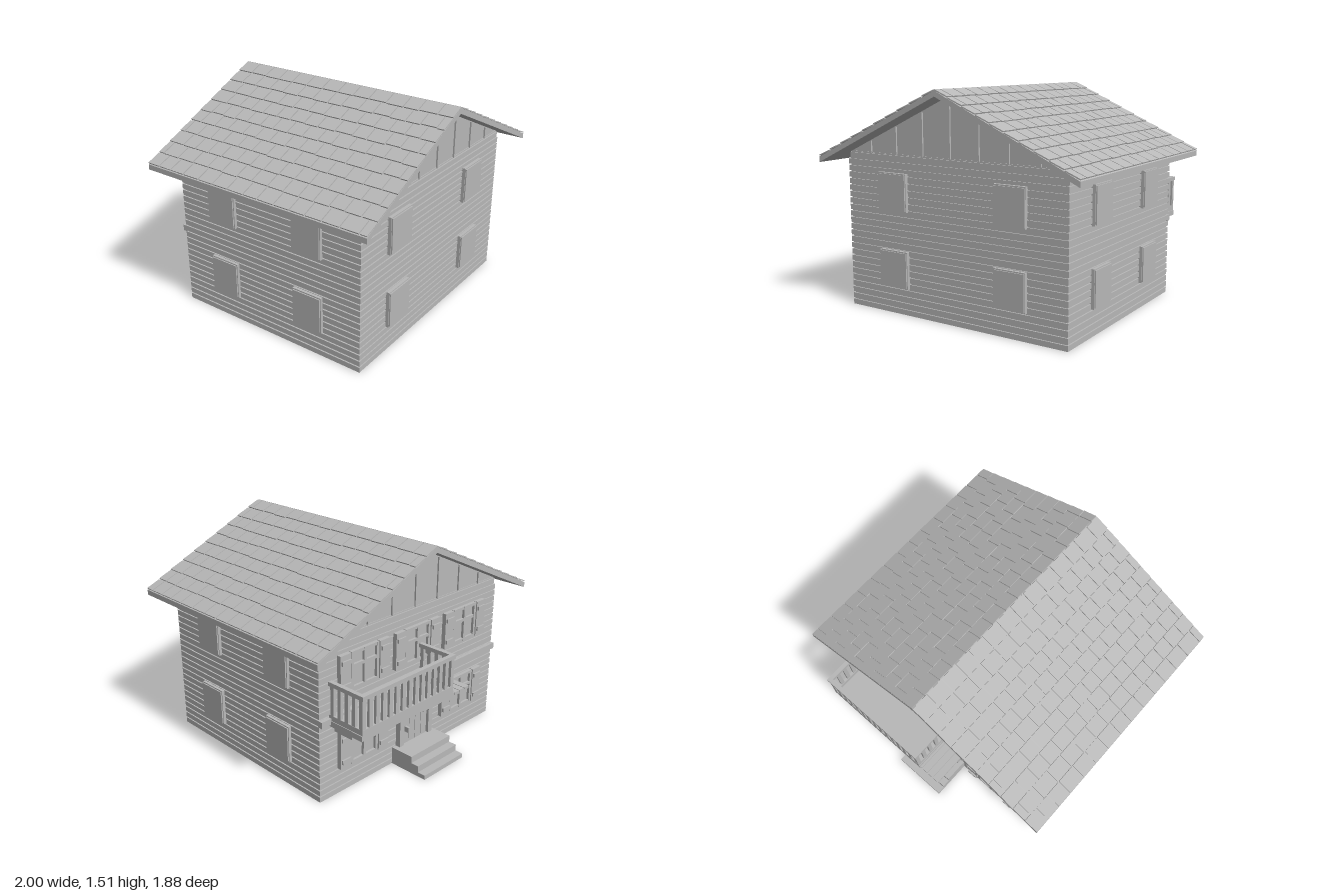
import * as THREE from 'three';
import { mergeGeometries } from 'three/addons/utils/BufferGeometryUtils.js';

const grey = new THREE.MeshStandardMaterial({ color: 0xb8b8b8 });
grey.name = 'plain grey';

// Box geometry from its limits on each axis
function span(x0, x1, y0, y1, z0, z1) {
  return new THREE.BoxGeometry(Math.abs(x1 - x0), Math.abs(y1 - y0), Math.abs(z1 - z0))
    .translate((x0 + x1) / 2, (y0 + y1) / 2, (z0 + z1) / 2);
}

export function createModel() {
  const house = new THREE.Group();
  house.name = 'chalet';
  const add = (name, geos) => {
    const mesh = new THREE.Mesh(mergeGeometries([].concat(geos)), grey);
    mesh.name = name;
    house.add(mesh);
  };
  const W = 0.858, F = 0.802, B = -0.65; // wall half width, front and back

  // Walls: a core with raised horizontal planks
  const top = 1.075, planks = 24, pitch = top / planks;
  add('wallCore', span(-W + 0.01, W - 0.01, 0, top, B + 0.01, F - 0.01));
  const boards = [];
  for (let i = 0; i < planks; i++) {
    const inset = i === planks - 1 ? 0.015 : 0;
    boards.push(span(-W + inset, W - inset, i * pitch, (i + 1) * pitch - 0.009, B, F));
  }
  add('wallPlanks', boards);

  // Gables with vertical battens
  const gable = new THREE.Shape([[-W, 1.07], [W, 1.07], [0, 1.47]].map(p => new THREE.Vector2(...p)));
  add('gable', new THREE.ExtrudeGeometry(gable, { depth: F - B - 0.03, bevelEnabled: false }).translate(0, 0, B + 0.015));
  const battens = [];
  for (let i = -3; i <= 3; i++) {
    const x = i * 0.22, h = 1.46 - Math.abs(x) * 0.465;
    battens.push(span(x - 0.005, x + 0.005, 1.07, h, B + 0.004, F - 0.004));
  }
  add('gableBattens', battens);

  // Roof slab
  const roof = new THREE.Shape([[0, 1.465], [1, 1], [1, 1.036], [0, 1.501], [-1, 1.036], [-1, 1]]
    .map(p => new THREE.Vector2(...p)));
  const zMin = -0.8, zMax = 0.937, zMid = (zMin + zMax) / 2, halfZ = (zMax - zMin) / 2;
  add('roofSlab', new THREE.ExtrudeGeometry(roof, { depth: zMax - zMin, bevelEnabled: false }).translate(0, 0, zMin));

  // Lapped shingles in ten courses on each slope
  let seed = 7;
  const rand = () => (seed = (seed * 16807) % 2147483647) / 2147483647;
  const slope = Math.atan(0.465), length = Math.hypot(1, 0.465) / 10;
  for (const side of [0, 1]) {
    const shingles = [];
    for (let c = 0; c < 10; c++) {
      let z = -halfZ;
      let next = z + (c % 2 ? 0.055 : 0.11);
      while (z < halfZ - 0.001) {
        const end = halfZ - next < 0.03 ? halfZ : next;
        const long = length - 0.002 - (c < 9 ? rand() * 0.008 : 0.003);
        shingles.push(new THREE.BoxGeometry(long, 0.008, end - z - (end < halfZ ? 0.008 : 0))
          .translate(long / 2, 0.004, (z + end - (end < halfZ ? 0.008 : 0)) / 2)
          .rotateZ(0.05).translate(c * length, 0, 0)
          .rotateZ(-slope).translate(0, 1.501, 0));
        z = end;
        next = z + 0.105 + rand() * 0.03;
      }
    }
    const geo = mergeGeometries(shingles);
    add(side ? 'leftShingles' : 'rightShingles', (side ? geo.rotateY(Math.PI) : geo).translate(0, 0, zMid));
  }

  // Closed window panels on the front and both sides
  const floors = [[0.183, 0.436], [0.7, 0.954]];
  const panels = [];
  for (const [y0, y1] of floors) {
    for (const s of [-1, 1]) {
      panels.push(span(s * 0.342, s * 0.575, y0, y1, F - 0.01, F + 0.022));
      panels.push(span(s * 0.347, s * 0.57, y0 + 0.008, y1 - 0.008, F, F + 0.03));
      for (const [z0, z1] of [[0.3, 0.523], [-0.39, -0.167]]) {
        panels.push(span(s * (W - 0.01), s * (W + 0.02), y0, y1, z0, z1));
        panels.push(span(s * W, s * (W + 0.028), y0 + 0.008, y1 - 0.008, z0 + 0.006, z1 - 0.006));
      }
    }
  }
  add('windowPanels', panels);

  // Shuttered back windows with glazing bars
  const frames = [], shutters = [], panes = [];
  for (const [cx, y0, y1] of [[0.49, ...floors[0]], [-0.49, ...floors[0]],
    [0.49, ...floors[1]], [0, ...floors[1]], [-0.49, ...floors[1]]]) {
    const h = 0.12, ym = y0 + (y1 - y0) * 0.62;
    panes.push(span(cx - h, cx + h, y0, y1, B - 0.008, B + 0.02));
    for (const x of [-h + 0.01, 0, h - 0.01])
      frames.push(span(cx + x - 0.01, cx + x + 0.01, y0, y1, B - 0.026, B));
    for (const y of [y0 + 0.01, ym, y1 - 0.01])
      frames.push(span(cx - h, cx + h, y - 0.01, y + 0.01, B - 0.025, B));
    for (const s of [-1, 1]) {
      const a = cx + s * (h + 0.006), b = cx + s * (h + 0.096);
      shutters.push(span(a, b, y0, y1, B - 0.03, B));
      for (const y of [y0 + 0.05, y1 - 0.05])
        shutters.push(span(a + s * 0.008, b - s * 0.008, y - 0.014, y + 0.014, B - 0.042, B));
    }
  }
  add('windowPanes', panes);
  add('windowFrames', frames);
  add('shutters', shutters);

  // Storey band across the back
  add('storeyBand', span(-W, W, 0.53, 0.572, B - 0.025, B + 0.01));

  // Door of vertical planks, with frame and handle
  const door = [span(-0.13, 0.13, 0.1, 0.43, B - 0.01, B)];
  for (let i = 0; i < 4; i++) door.push(span(-0.118 + i * 0.06, -0.062 + i * 0.06, 0.12, 0.42, B - 0.022, B));
  add('door', door);
  add('doorFrame', [span(-0.165, -0.125, 0, 0.44, B - 0.037, B), span(0.125, 0.165, 0, 0.44, B - 0.037, B),
    span(-0.165, 0.165, 0.415, 0.44, B - 0.037, B)]);
  add('doorHandle', span(0.088, 0.105, 0.215, 0.252, B - 0.058, B));

  // Entrance steps
  add('steps', [[0.03, -0.938], [0.075, -0.88], [0.122, -0.822]].map(([y, z]) => span(-0.195, 0.2, 0, y, z, B)));

  // Slatted canopy above the door, on two brackets
  const slats = [];
  for (let i = 0; i < 9; i++) slats.push(span(-0.23 + i * 0.0515, -0.183 + i * 0.0515, 0.515, 0.532, -0.93, B));
  add('canopySlats', slats);
  add('canopyBase', span(-0.225, 0.225, 0.505, 0.52, -0.925, B));
  const brackets = [];
  for (const x of [-0.15, 0.15]) brackets.push(span(x - 0.025, x + 0.025, 0.435, 0.506, -0.785, B));
  for (const x of [0.24, 0.7]) brackets.push(span(x - 0.03, x + 0.03, 0.455, 0.53, -0.8, B));
  add('brackets', brackets);

  // Balcony floor and railing
  const L = -0.06, R = 0.785, Z = -0.94;
  add('balconyFloor', span(L, R, 0.52, 0.557, Z + 0.005, B));
  const rails = [], balusters = [];
  for (const [y0, y1, o] of [[0.557, 0.592, 0.005], [0.785, 0.812, 0]]) {
    rails.push(span(L + o, R - o, y0, y1, Z + o, Z + 0.03 - o));
    for (const [a, b] of [[L, L + 0.03], [R - 0.03, R]]) rails.push(span(a + o, b - o, y0, y1, Z + o, B - 0.005));
  }
  for (let i = 0; i < 15; i++) {
    const x = L + 0.02 + i * (R - L - 0.04) / 14;
    balusters.push(span(x - 0.015, x + 0.015, 0.557, 0.79, Z + 0.006, Z + 0.024));
  }
  for (const x of [L + 0.015, R - 0.015])
    for (let i = 0; i < 5; i++) {
      const z = Z + 0.02 + i * 0.06;
      balusters.push(span(x - 0.009, x + 0.009, 0.557, 0.79, z - 0.014, z + 0.014));
    }
  add('balconyRails', rails);
  add('balusters', balusters);

  return house;
}
